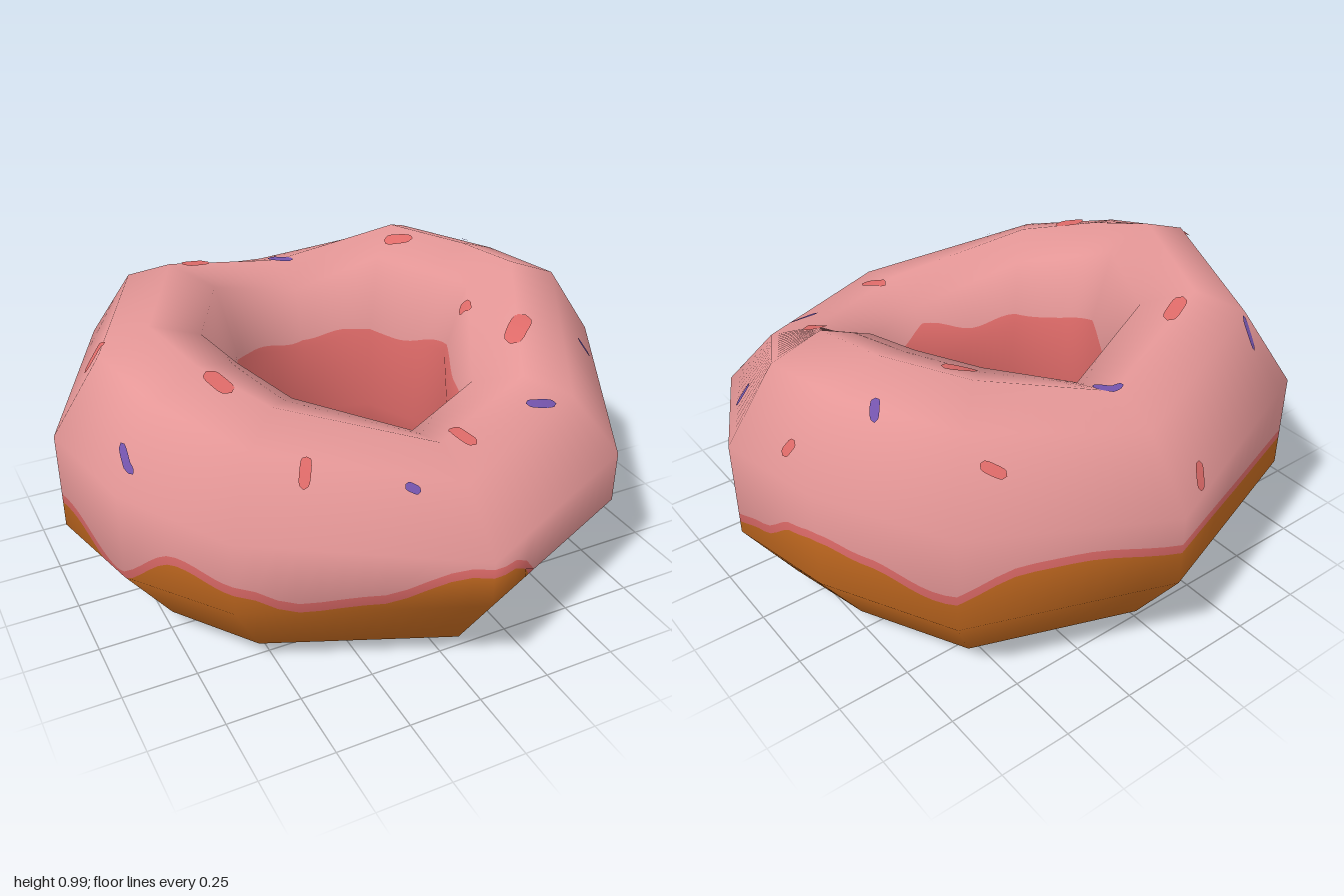
import * as THREE from 'three';

const material = (name, color) => {
  const m = new THREE.MeshStandardMaterial({ color });
  m.name = name;
  return m;
};

// Cross-sections around the ring, front first, then towards +x:
// outer x, outer z, inner x, inner z, top height
const SECTIONS = [
  [0.04, 0.965, 0.04, 0.375, 0.72], [0.72, 0.66, 0.30, 0.25, 0.755],
  [1.0, 0.07, 0.42, 0.01, 0.985], [0.92, -0.30, 0.37, -0.12, 0.985],
  [0.70, -0.72, 0.28, -0.30, 0.985], [0.04, -0.965, 0.04, -0.38, 0.86],
  [-0.67, -0.72, -0.26, -0.30, 0.985], [-1.0, -0.02, -0.41, -0.02, 0.985],
  [-0.91, 0.34, -0.35, 0.09, 0.93], [-0.67, 0.66, -0.26, 0.25, 0.86],
];
// Ten-sided profile from the bottom, up the outside, down the hole: [inner-to-outer, height]
const PROFILE = [
  [0.42, 0], [0.71, 0.08], [1, 0.33], [1, 0.67], [0.71, 0.92],
  [0.42, 0.985], [0.13, 0.92], [0, 0.67], [0, 0.33], [0.13, 0.08],
];
const N = 10;
const wrap = (i) => ((i % N) + N) % N;

function node(i, j) {
  const [ox, oz, ix, iz, top] = SECTIONS[wrap(i)];
  const [t, h] = PROFILE[wrap(j)];
  return new THREE.Vector3(ix + (ox - ix) * t, h > 0.5 ? h * top / 0.985 : h, iz + (oz - iz) * t);
}
function nodeNormal(i, j) {
  const du = node(i + 1, j).sub(node(i - 1, j));
  const dv = node(i, j + 1).sub(node(i, j - 1));
  return du.cross(dv).normalize();
}
// Blend of the four grid nodes around (u, v)
function blend(f, u, v) {
  const i = Math.floor(u), j = Math.floor(v), a = u - i, b = v - j;
  return f(i, j).lerp(f(i + 1, j), a).lerp(f(i, j + 1).lerp(f(i + 1, j + 1), a), b);
}
const point = (u, v) => blend(node, u, v);
const normal = (u, v) => blend(nodeNormal, u, v).normalize();

// Glaze edge: [degrees from the front towards +x, height]
const OUTER_EDGE = [
  [-180, 0.45], [-150, 0.44], [-120, 0.43], [-90, 0.42], [-72, 0.31], [-58, 0.44], [-46, 0.40],
  [-34, 0.33], [-19, 0.35], [0, 0.44], [9, 0.40], [22, 0.24], [33, 0.19], [43, 0.21], [49, 0.26],
  [55, 0.37], [65, 0.42], [84, 0.37], [93, 0.40], [102, 0.48], [108, 0.50], [118, 0.47],
  [132, 0.42], [148, 0.50], [157, 0.50], [180, 0.45],
];
const INNER_EDGE = [
  [-180, 0.28], [-135, 0.24], [-90, 0.30], [-45, 0.25], [0, 0.30], [22, 0.30], [45, 0.22],
  [68, 0.30], [100, 0.27], [140, 0.23], [180, 0.28],
];
const INNER_TOP = [
  [-180, 0.62], [-150, 0.66], [-120, 0.63], [-90, 0.67], [-45, 0.62], [-20, 0.58], [0, 0.61],
  [25, 0.59], [60, 0.64], [90, 0.70], [120, 0.65], [150, 0.66], [180, 0.62],
];
function wave(table, deg) {
  let k = 0;
  while (k < table.length - 2 && table[k + 1][0] < deg) k++;
  const [a, ya] = table[k], [b, yb] = table[k + 1];
  return ya + (yb - ya) * (1 - Math.cos(Math.PI * (deg - a) / (b - a))) / 2;
}
// Profile position with the given height, on the outside (0..5) or in the hole (5..10)
function atHeight(u, y, inside) {
  let lo = inside ? 10 : 0, hi = 5;
  for (let k = 0; k < 24; k++) {
    const mid = (lo + hi) / 2;
    if (point(u, mid).y < y) lo = mid; else hi = mid;
  }
  return (lo + hi) / 2;
}

// Ring of surface between two profile positions, kept sharp to the profile corners
function band(name, mat, limits) {
  const pos = [], nor = [], idx = [], columns = N * 12, rows = 15;
  for (let c = 0; c <= columns; c++) {
    const u = c / 12, edge = point(u, 2);
    const [lo, hi] = limits(u, THREE.MathUtils.radToDeg(Math.atan2(edge.x, edge.z)));
    for (let r = 0; r < rows; r++) {
      const v = r === 0 ? lo : r === rows - 1 ? hi : Math.min(hi, Math.max(lo, r - 4));
      pos.push(...point(u, v).toArray());
      nor.push(...normal(u, v).toArray());
      if (c < columns && r < rows - 1) {
        const a = c * rows + r, b = a + rows;
        idx.push(a, b, b + 1, a, b + 1, a + 1);
      }
    }
  }
  return surface(name, mat, pos, nor, idx);
}
function surface(name, mat, pos, nor, idx) {
  const g = new THREE.BufferGeometry();
  g.setAttribute('position', new THREE.Float32BufferAttribute(pos, 3));
  g.setAttribute('normal', new THREE.Float32BufferAttribute(nor, 3));
  g.setIndex(idx);
  const mesh = new THREE.Mesh(g, mat);
  mesh.name = name;
  return mesh;
}

// Nearest place on the upper surface seen from above
function locate(x, z) {
  let best = Infinity, found;
  for (let u = 0; u < N; u += 0.05) {
    for (let v = 3; v <= 7; v += 0.05) {
      const p = point(u, v), d = (p.x - x) ** 2 + (p.z - z) ** 2;
      if (d < best) { best = d; found = [u, v]; }
    }
  }
  return found;
}
// Thin rounded strip lying on the glaze
function sprinkle(mat, [x0, z0, x1, z1, width]) {
  const [u0, v0] = locate(x0, z0), [u1, v1] = locate(x1, z1);
  let du = u1 - u0;
  du -= N * Math.round(du / N);
  const dir = point(u1, v1).sub(point(u0, v0)).normalize();
  const pos = [], nor = [], idx = [], steps = 10;
  for (let k = 0; k <= steps; k++) {
    const t = k / steps, s = 1.3 * t - 0.15;
    const u = u0 + du * s, v = v0 + (v1 - v0) * s;
    const n = normal(u, v), side = n.clone().cross(dir).normalize();
    const half = width / 2 * Math.pow(1 - Math.abs(2 * t - 1) ** 4, 0.5);
    for (const w of [-half, half]) {
      pos.push(...point(u, v).addScaledVector(n, 0.007).addScaledVector(side, w).toArray());
      nor.push(...n.toArray());
    }
    if (k < steps) idx.push(2 * k, 2 * k + 2, 2 * k + 3, 2 * k, 2 * k + 3, 2 * k + 1);
  }
  return surface('sprinkle', mat, pos, nor, idx);
}

// Sprinkles: start x, z, end x, z, width
const RED = [
  [-0.10, -0.87, -0.07, -0.91, 0.035], [0.50, -0.70, 0.55, -0.66, 0.035],
  [-0.38, -0.475, -0.29, -0.51, 0.05], [0.40, -0.41, 0.465, -0.35, 0.055],
  [0.88, -0.155, 0.91, -0.15, 0.035], [-0.85, -0.08, -0.79, -0.07, 0.035],
  [-0.56, 0.24, -0.53, 0.32, 0.06], [0.51, 0.29, 0.59, 0.24, 0.07],
  [0.11, 0.58, 0.145, 0.65, 0.05], [-0.425, 0.65, -0.40, 0.61, 0.035],
  [-0.74, -0.56, -0.72, -0.59, 0.035], [0.47, 0.09, 0.46, 0.05, 0.045],
];
const PURPLE = [
  [-0.52, -0.675, -0.52, -0.625, 0.03], [0.01, -0.63, 0.08, -0.59, 0.035],
  [0.695, -0.325, 0.72, -0.37, 0.03], [-0.85, 0.26, -0.85, 0.34, 0.03],
  [0.83, 0.245, 0.87, 0.25, 0.03], [0.41, 0.55, 0.51, 0.555, 0.035],
  [-0.145, 0.74, -0.10, 0.765, 0.03],
];

export function createModel() {
  const dough = material('dough', 0xc46a20);
  const glaze = material('pink glaze', 0xe59797);
  const salmon = material('salmon', 0xdf6b69);
  const purple = material('purple', 0x7454ac);
  const outer = (u, d, lift) => atHeight(u, wave(OUTER_EDGE, d) + lift, false);
  const inner = (u, table, d) => atHeight(u, wave(table, d), true);

  const model = new THREE.Group();
  model.name = 'doughnut';
  model.add(
    band('dough', dough, (u, d) => [inner(u, INNER_EDGE, d) - N, outer(u, d, 0)]),
    band('glazeLip', salmon, (u, d) => [outer(u, d, 0), outer(u, d, 0.032)]),
    band('glaze', glaze, (u, d) => [outer(u, d, 0.032), inner(u, INNER_TOP, d)]),
    band('holeGlaze', salmon, (u, d) => [inner(u, INNER_TOP, d), inner(u, INNER_EDGE, d)]),
  );
  const sprinkles = new THREE.Group();
  sprinkles.name = 'sprinkles';
  for (const s of RED) sprinkles.add(sprinkle(salmon, s));
  for (const s of PURPLE) sprinkles.add(sprinkle(purple, s));
  model.add(sprinkles);
  return model;
}
